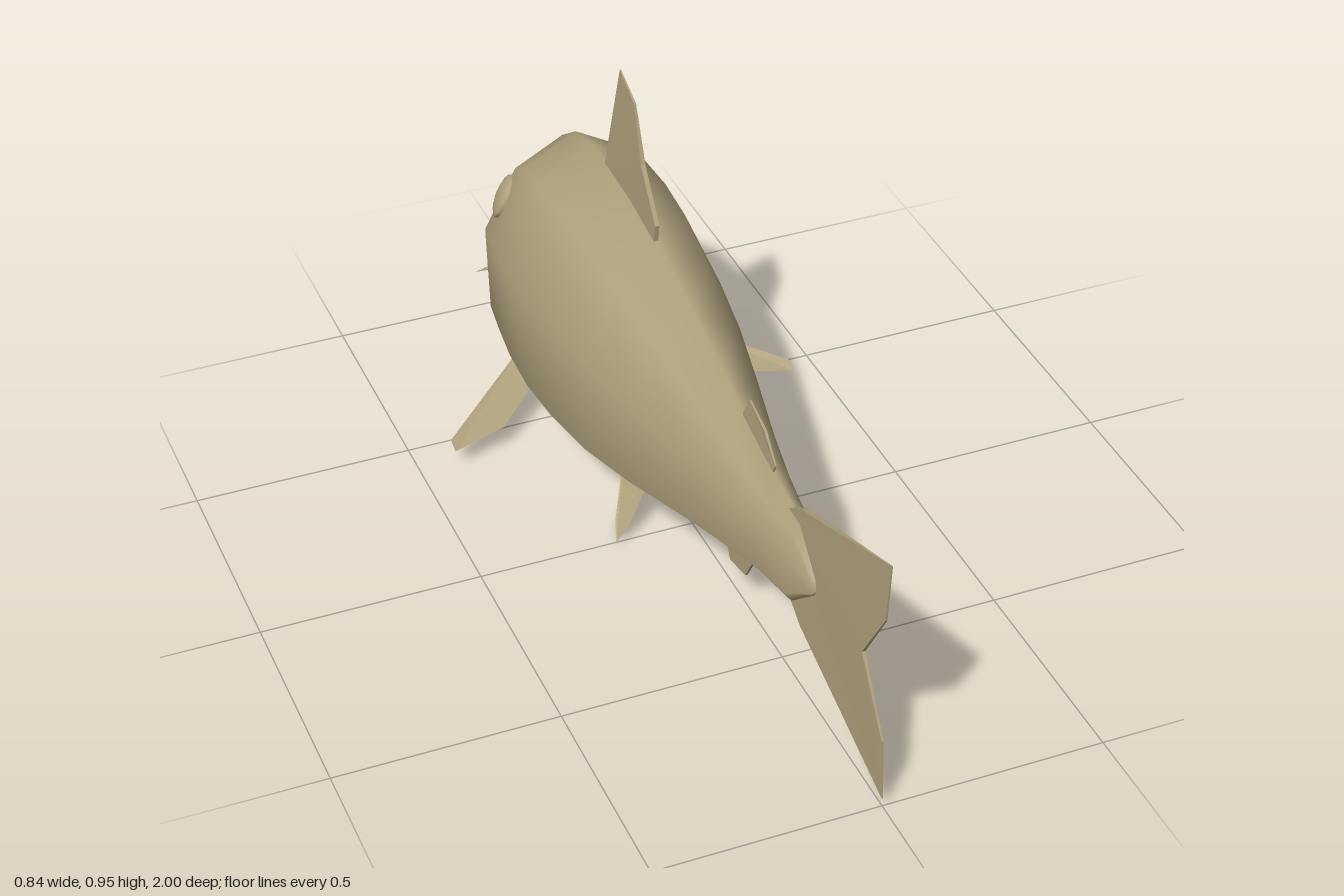
import * as THREE from 'three';

const skin = new THREE.MeshStandardMaterial({ color: 0xb0a27c, side: THREE.DoubleSide });
skin.name = 'olive skin';

// Body stations from nose to tail: z, half width, bottom y, top y
const STATIONS = [
  [-1.0, 0.0, 0.24, 0.25],
  [-0.998, 0.035, 0.22, 0.265],
  [-0.96, 0.09, 0.165, 0.34],
  [-0.92, 0.135, 0.125, 0.415],
  [-0.87, 0.17, 0.1, 0.485],
  [-0.79, 0.197, 0.085, 0.57],
  [-0.7, 0.21, 0.075, 0.63],
  [-0.6, 0.219, 0.06, 0.653],
  [-0.48, 0.22, 0.05, 0.663],
  [-0.35, 0.212, 0.055, 0.655],
  [-0.18, 0.188, 0.068, 0.625],
  [0.0, 0.152, 0.103, 0.575],
  [0.2, 0.107, 0.155, 0.52],
  [0.4, 0.07, 0.205, 0.462],
  [0.5, 0.055, 0.226, 0.438],
  [0.59, 0.038, 0.23, 0.43],
  [0.665, 0.014, 0.295, 0.345],
  [0.678, 0.0, 0.315, 0.325],
];

// Half cross-section, top to bottom: share of half width, share of height
const HALF = [[0, 1], [0.6, 0.87], [1, 0.535], [0.97, 0.115], [0.6, 0]];
const RING = [...HALF, ...HALF.slice(1).reverse().map(([x, y]) => [-x, y])];

function bodyGeometry() {
  const pos = [], index = [], n = RING.length;
  for (const [z, w, lo, hi] of STATIONS)
    for (const [x, y] of RING) pos.push(x * w, lo + (hi - lo) * y, z);
  for (let i = 0; i < STATIONS.length - 1; i++)
    for (let j = 0; j < n; j++) {
      const a = i * n + j, b = i * n + (j + 1) % n, c = a + n, d = b + n;
      index.push(a, c, b, b, c, d);
    }
  const g = new THREE.BufferGeometry();
  g.setAttribute('position', new THREE.Float32BufferAttribute(pos, 3));
  g.setIndex(index);
  g.computeVertexNormals();
  return g;
}

// Upright fin on the middle plane: outline of [z, y], tapering away from the root
function midFin(outline, rootZ, rootY, reach) {
  const shape = new THREE.Shape(outline.map(([z, y]) => new THREE.Vector2(-z, y)));
  const g = new THREE.ExtrudeGeometry(shape, { depth: 1, bevelEnabled: false });
  g.translate(0, 0, -0.5);
  g.rotateY(Math.PI / 2);
  const p = g.attributes.position;
  for (let i = 0; i < p.count; i++) {
    const t = Math.min(1, Math.hypot(p.getZ(i) - rootZ, p.getY(i) - rootY) / reach);
    p.setX(i, p.getX(i) * (0.018 - 0.015 * t));
  }
  g.computeVertexNormals();
  return g;
}

// Thin side fin: fan of corners around the outline, mirrored by side
function sideFin(points, side) {
  const pos = [];
  for (let i = 1; i < points.length - 1; i++)
    for (const [x, y, z] of [points[0], points[i], points[i + 1]]) pos.push(side * x, y, z);
  const g = new THREE.BufferGeometry();
  g.setAttribute('position', new THREE.Float32BufferAttribute(pos, 3));
  g.computeVertexNormals();
  return g;
}

export function createModel() {
  const fish = new THREE.Group();
  fish.name = 'fish';
  const add = (name, geometry) => {
    const mesh = new THREE.Mesh(geometry, skin);
    mesh.name = name;
    fish.add(mesh);
    return mesh;
  };

  add('body', bodyGeometry());

  // Fins on the middle plane
  add('dorsalFin', midFin([[-0.21, 0.61], [-0.2, 0.67], [-0.28, 0.78], [-0.325, 0.91],
    [-0.41, 0.948], [-0.5, 0.665], [-0.5, 0.64]], -0.36, 0.65, 0.3));
  add('rearDorsalFin', midFin([[0.285, 0.46], [0.285, 0.5], [0.315, 0.55], [0.395, 0.525],
    [0.45, 0.472], [0.43, 0.43]], 0.35, 0.46, 0.1));
  add('analFin', midFin([[0.33, 0.21], [0.355, 0.16], [0.305, 0.08], [0.22, 0.06],
    [0.177, 0.145], [0.19, 0.18]], 0.26, 0.18, 0.13));
  add('tailFin', midFin([[0.525, 0.42], [0.595, 0.465], [1, 0.615], [0.985, 0.47],
    [0.89, 0.32], [0.99, 0.165], [1, 0.022], [0.6, 0.165], [0.53, 0.215]], 0.55, 0.32, 0.5));

  // Mouth line wrapping round the snout
  const mouth = new THREE.CatmullRomCurve3([
    [-0.147, 0.168, -0.9], [-0.09, 0.215, -0.958], [-0.035, 0.238, -0.992], [0.035, 0.238, -0.992],
    [0.09, 0.215, -0.958], [0.147, 0.168, -0.9],
  ].map(p => new THREE.Vector3(...p)));
  add('mouth', new THREE.TubeGeometry(mouth, 16, 0.005, 5));

  for (const side of [1, -1]) {
    const label = side > 0 ? 'left' : 'right';
    add(label + 'PectoralFin', sideFin([[0.17, 0.115, -0.64], [0.42, 0.06, -0.425],
      [0.42, 0.048, -0.395], [0.29, 0.057, -0.43], [0.16, 0.09, -0.55]], side));
    add(label + 'PelvicFin', sideFin([[0.1, 0.08, -0.17], [0.165, 0.022, -0.05],
      [0.182, 0.002, 0], [0.15, 0.035, -0.005], [0.09, 0.095, -0.05]], side));

    // Flattened eye lying against the head
    const eye = add(label + 'Eye', new THREE.SphereGeometry(0.054, 12, 8));
    eye.position.set(side * 0.15, 0.442, -0.785);
    eye.lookAt(side * 0.98, 0.86, -1.08);
    eye.scale.z = 0.3;

    // Short whisker at the mouth corner
    const root = new THREE.Vector3(side * 0.138, 0.175, -0.9);
    const tip = new THREE.Vector3(side * 0.182, 0.152, -0.925);
    const dir = tip.clone().sub(root);
    const whisker = add(label + 'Whisker', new THREE.ConeGeometry(0.007, dir.length(), 5));
    whisker.position.copy(root).addScaledVector(dir, 0.5);
    whisker.quaternion.setFromUnitVectors(new THREE.Vector3(0, 1, 0), dir.normalize());
  }
  return fish;
}
